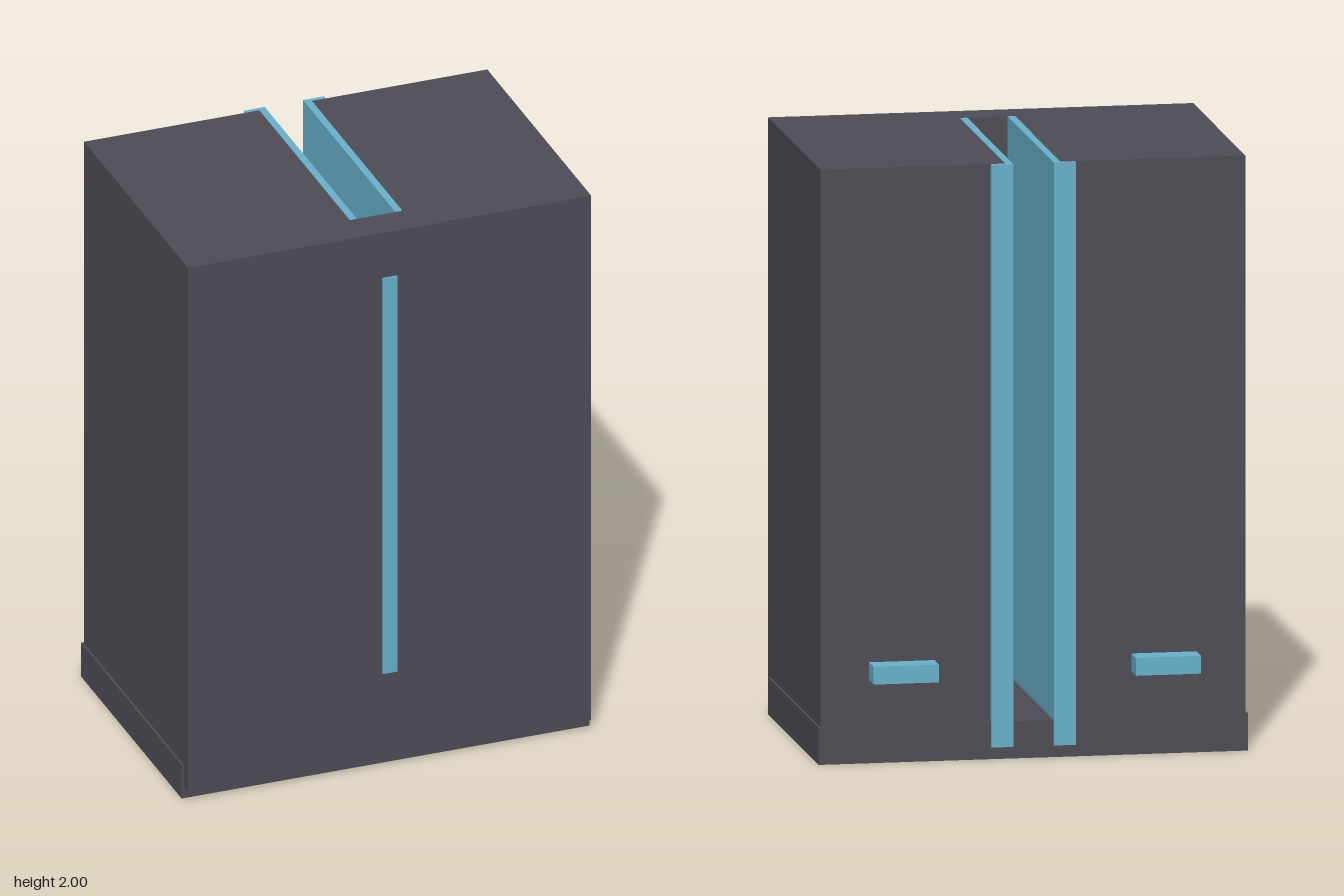
import * as THREE from 'three';

const dark = new THREE.MeshStandardMaterial({ color: 0x4e4d56 });
dark.name = 'charcoal';
const blue = new THREE.MeshStandardMaterial({ color: 0x68b2cc });
blue.name = 'lightBlue';

export function createModel() {
  const group = new THREE.Group();

  const add = (name, geometry, material) => {
    const mesh = new THREE.Mesh(geometry, material);
    mesh.name = name;
    group.add(mesh);
  };

  // Box given by its limits on each axis
  const box = (name, material, [x0, x1], [y0, y1], [z0, z1]) => {
    const g = new THREE.BoxGeometry(x1 - x0, y1 - y0, z1 - z0);
    g.translate((x0 + x1) / 2, (y0 + y1) / 2, (z0 + z1) / 2);
    add(name, g, material);
  };

  // Upright prism from an outline of [x, z] points
  const prism = (name, material, outline, y0, y1) => {
    const shape = new THREE.Shape(outline.map(([x, z]) => new THREE.Vector2(x, -z)));
    const g = new THREE.ExtrudeGeometry(shape, { depth: y1 - y0, bevelEnabled: false });
    g.rotateX(-Math.PI / 2).translate(0, y0, 0);
    add(name, g, material);
  };

  const back = -0.441, slotEnd = 0.393, slotHalf = 0.093, front = 0.517;

  // Casing with a deep slot open at the top and back
  prism('casing', dark, [
    [-0.714, front], [0.714, front], [0.714, back], [slotHalf, back],
    [slotHalf, slotEnd], [-slotHalf, slotEnd], [-slotHalf, back], [-0.714, back],
  ], 0.04, 2);

  // Base, which also forms the slot floor
  box('base', dark, [-0.722, 0.722], [0, 0.125], [-0.45, 0.48]);

  // Strip passing through the wall between the slot and the front
  box('frontStrip', blue, [-0.026, 0.026], [0.355, 1.832], [0.386, 0.524]);

  for (const [side, s] of [['left', 1], ['right', -1]]) {
    // Angle-section rail: liner along the slot wall
    prism(side + 'RailLiner', blue, [
      [s * 0.068, -0.457], [s * slotHalf, -0.457], [s * slotHalf, slotEnd], [s * 0.068, slotEnd],
    ], 0.04, 2);
    // Rail flange on the back face
    prism(side + 'RailFlange', blue, [
      [s * slotHalf, -0.457], [s * 0.142, -0.457], [s * 0.142, back], [s * slotHalf, back],
    ], 0.04, 2);
    // Lug low on the back
    const xs = [s * 0.331, s * 0.55].sort((a, b) => a - b);
    box(side + 'Lug', blue, xs, [0.278, 0.338], [-0.524, back]);
  }

  return group;
}
